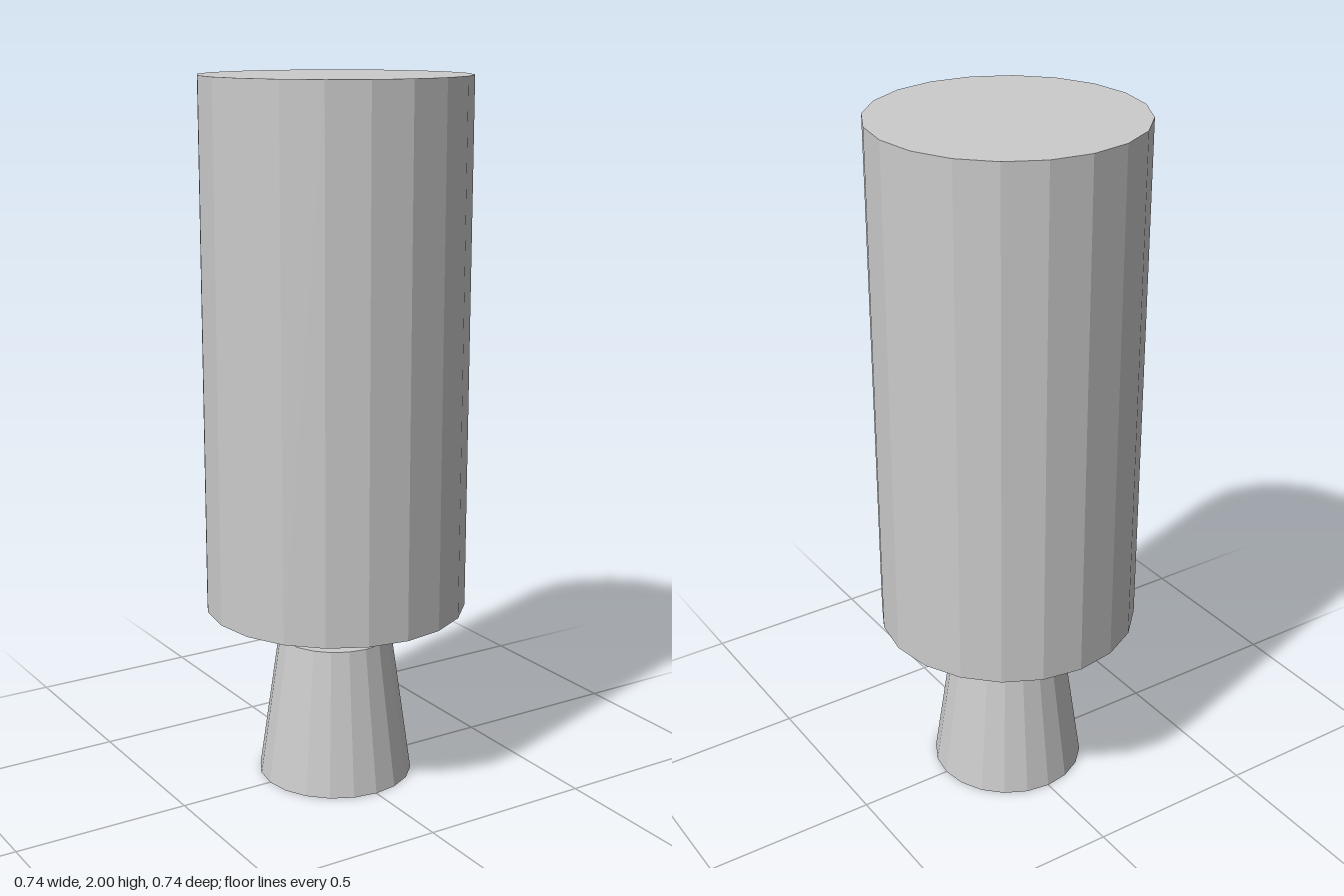
import * as THREE from 'three';

const SIDES = 20;

export function createModel() {
  const group = new THREE.Group();
  const material = new THREE.MeshStandardMaterial({ color: 0xcccccc, flatShading: true });

  const add = (name, geometry, y = 0) => {
    const mesh = new THREE.Mesh(geometry, material);
    mesh.name = name;
    mesh.position.y = y;
    group.add(mesh);
  };
  const cylinder = (name, radius, y0, y1) =>
    add(name, new THREE.CylinderGeometry(radius, radius, y1 - y0, SIDES), (y0 + y1) / 2);

  // Large tank and the short neck beneath it
  cylinder('tank', 0.372, 0.512, 2);
  cylinder('neck', 0.055, 0.41, 0.515);

  // Flared nozzle, hollow from below: ceiling, inner wall, rim, outer wall, top
  const profile = [[0, 0.38], [0.135, 0.38], [0.16, 0], [0.222, 0], [0.163, 0.418], [0, 0.418]];
  add('nozzle', new THREE.LatheGeometry(profile.map(([r, y]) => new THREE.Vector2(r, y)), SIDES));

  return group;
}
